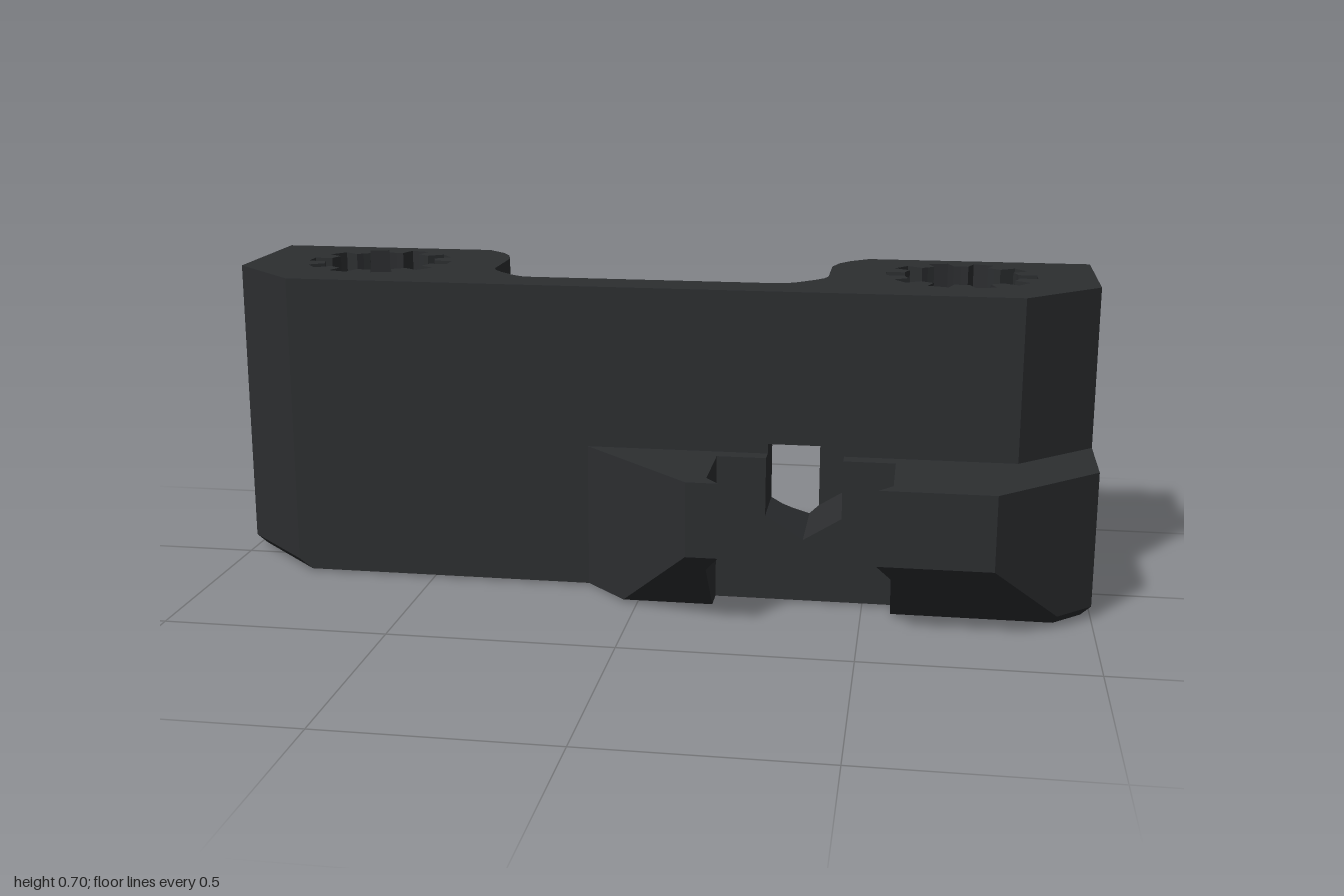
import * as THREE from 'three';
import { mergeGeometries } from 'three/addons/utils/BufferGeometryUtils.js';

const BASE = 0.005, EDGE = 0.028, TOP = 0.7, CLIP_TOP = 0.333, WIN_TOP = 0.355, INSET = 0.022;
const material = new THREE.MeshStandardMaterial({ color: 0x2c2e30, flatShading: true, side: THREE.DoubleSide });

// Lift plan points [x, z] to a height (number or function of x)
const at = (pts, y) => pts.map(([x, z]) => [x, typeof y === 'function' ? y(x) : y, z]);

// Band of quads between two rows of 3D points
function strip(low, high, closed = false) {
  const pos = [], n = low.length;
  for (let i = 0; i < (closed ? n : n - 1); i++) {
    const j = (i + 1) % n;
    pos.push(...low[i], ...low[j], ...high[j], ...low[i], ...high[j], ...high[i]);
  }
  const g = new THREE.BufferGeometry();
  g.setAttribute('position', new THREE.Float32BufferAttribute(pos, 3));
  g.computeVertexNormals();
  return g;
}
const wall = (pts, y0, y1, closed) => strip(at(pts, y0), at(pts, y1), closed);

function flat(points, holes = []) {
  const v = (l) => l.map(([x, y]) => new THREE.Vector2(x, y));
  const shape = new THREE.Shape(v(points));
  shape.holes = holes.map((h) => new THREE.Path(v(h)));
  const g = new THREE.ShapeGeometry(shape).toNonIndexed();
  g.deleteAttribute('uv');
  return g;
}

// Horizontal face over a plan outline
function cap(loop, holes, y, up) {
  const s = up ? -1 : 1, f = (l) => l.map(([x, z]) => [x, s * z]);
  return flat(f(loop), holes.map(f)).rotateX(s * Math.PI / 2).translate(0, y, 0);
}

// Plan outline shrunk inwards, leaving the straight front and back edges in place
function inset(loop, d) {
  const n = loop.length;
  const edge = (i) => {
    const a = loop[(i + n) % n], b = loop[(i + 1 + n) % n];
    const dx = b[0] - a[0], dz = b[1] - a[1], len = Math.hypot(dx, dz);
    const fixed = a[1] === b[1] && (a[1] === 0.12 || a[1] === -0.38);
    const nx = -dz / len, nz = dx / len;
    return [nx, nz, nx * a[0] + nz * a[1] - (fixed ? 0 : d)];
  };
  return loop.map((_, i) => {
    const [a, b, p] = edge(i - 1), [c, e, q] = edge(i), det = a * e - b * c;
    return [(p * e - b * q) / det, (a * q - p * c) / det];
  });
}

// Round bore with ten square slots
function splineLoop(cx, cz) {
  const pts = [], r0 = 0.132, r1 = 0.172, h = 0.024, r = Math.sqrt(r0 * r0 - h * h);
  for (let k = 0; k < 10; k++) {
    const t = k * Math.PI / 5, c = Math.cos(t), s = Math.sin(t), m = t + Math.PI / 10;
    for (const [u, v] of [[r, -h], [r1, -h], [r1, h], [r, h]]) pts.push([cx + u * c - v * s, cz + u * s + v * c]);
    pts.push([cx + r0 * Math.cos(m), cz + r0 * Math.sin(m)]);
  }
  return pts;
}

export function createModel() {
  const group = new THREE.Group();
  const add = (name, parts) => {
    const mesh = new THREE.Mesh(mergeGeometries(parts), material);
    mesh.name = name;
    group.add(mesh);
  };

  // Main body: two pillars joined by a thin wall
  const half = [[0.83, 0.12], [1, -0.045], [1, -0.38], [0.475, -0.38], [0.43, -0.338], [0.407, -0.3],
    [0.393, -0.25], [0.393, -0.1], [0.385, -0.075], [0.365, -0.048], [0.33, -0.012], [0.305, 0.006], [0.28, 0.01]];
  const outline = [...half, ...half.map(([x, z]) => [-x, z]).reverse()];
  const foot = inset(outline, INSET);
  const bores = [splineLoop(-0.695, -0.165), splineLoop(0.695, -0.165)];
  const curve = half.slice(8);
  const floor = (x) => 0.147 + Math.abs(x - 0.365) * 0.053 / 0.085;
  const pentagon = [[0.28, WIN_TOP], [0.28, 0.2], [0.365, 0.147], [0.45, 0.2], [0.45, WIN_TOP]];
  const fx = foot[0][0];
  add('body', [
    cap(outline, bores, TOP, true),
    cap(foot, bores, BASE, false),
    wall(outline.slice(0, 9), EDGE, TOP),
    wall(outline.slice(12), EDGE, TOP),
    wall(curve, EDGE, floor),
    wall(curve, WIN_TOP, TOP),
    strip(at(foot, BASE), at(outline, EDGE)),
    flat([[-fx, BASE], [fx, BASE], [0.83, EDGE], [0.83, TOP], [-0.83, TOP], [-0.83, EDGE]], [pentagon]).translate(0, 0, 0.12),
  ]);
  add('splinedBores', bores.map((b) => wall(b, BASE, TOP, true)));

  // Pointed window running through the wall into the pillar
  const plan = [[0.45, -0.075], ...curve];
  const front = (z) => plan.map(([x]) => [x, z]);
  add('windowLining', [
    strip(at(plan, floor), at(front(0.16), floor)),
    wall(front(0.12), WIN_TOP, WIN_TOP).copy(strip(at(front(0.12), WIN_TOP), at(plan, WIN_TOP))),
    wall([[0.385, -0.075], [0.45, -0.075], [0.45, 0.12]], floor, WIN_TOP),
    wall([[0.45, 0.12], [0.45, 0.16]], floor, CLIP_TOP),
    wall([[0.28, 0.12], [0.28, 0.01]], floor, WIN_TOP),
    wall([[0.28, 0.16], [0.28, 0.12]], floor, CLIP_TOP),
  ]);

  // Front bracket: two lipped arms with a sloping underside
  const section = (y) => {
    const z = Math.min(0.38, 0.213 + y), d = Math.min(z, 0.34), i = y === BASE ? INSET : 0;
    const lip = 0.17 + Math.max(0, z - 0.34) * 0.75;
    return {
      left: [[-0.13, 0.12], [z - 0.25, z], [lip, z], [0.17, d], [0.17, 0.16]],
      right: [[0.565, 0.16], [0.565, d], [0.735 - lip, z], [0.78 + (0.38 - z) * 1.023 - 1.4 * i, z],
        [1 - i, 0.165 - 0.4 * i], [1 - i, -0.045 - 0.4 * i]],
    };
  };
  const levels = [BASE, EDGE, 0.127, 0.167, CLIP_TOP];
  const sides = [];
  for (let k = 0; k < levels.length - 1; k++) {
    const a = section(levels[k]), b = section(levels[k + 1]);
    for (const s of ['left', 'right']) sides.push(strip(at(a[s], levels[k]), at(b[s], levels[k + 1])));
  }
  const low = section(BASE), high = section(CLIP_TOP);
  const notch = [[0.28, 0.16], [0.28, 0.12], [0.45, 0.12], [0.45, 0.16]];
  add('frontBracket', [
    ...sides,
    cap([...high.left, ...notch, ...high.right, [0.83, 0.12]], [], CLIP_TOP, true),
    cap([...low.left, ...low.right, foot[0]], [], BASE, false),
    flat([[0.17, BASE], [0.565, BASE], [0.565, CLIP_TOP], [0.45, CLIP_TOP], [0.45, 0.2], [0.365, 0.147],
      [0.28, 0.2], [0.28, CLIP_TOP], [0.17, CLIP_TOP]]).translate(0, 0, 0.16),
  ]);

  // Raised ring closing the slots under one bore
  const ring = new THREE.Shape().absarc(0, 0, 0.178, 0, Math.PI * 2);
  ring.holes.push(new THREE.Path().absarc(0, 0, 0.13, 0, Math.PI * 2, true));
  const washer = new THREE.ExtrudeGeometry(ring, { depth: 0.03, bevelEnabled: false, curveSegments: 24 });
  add('bottomRing', [washer.rotateX(-Math.PI / 2).translate(0.695, 0, -0.165)]);

  return group;
}
